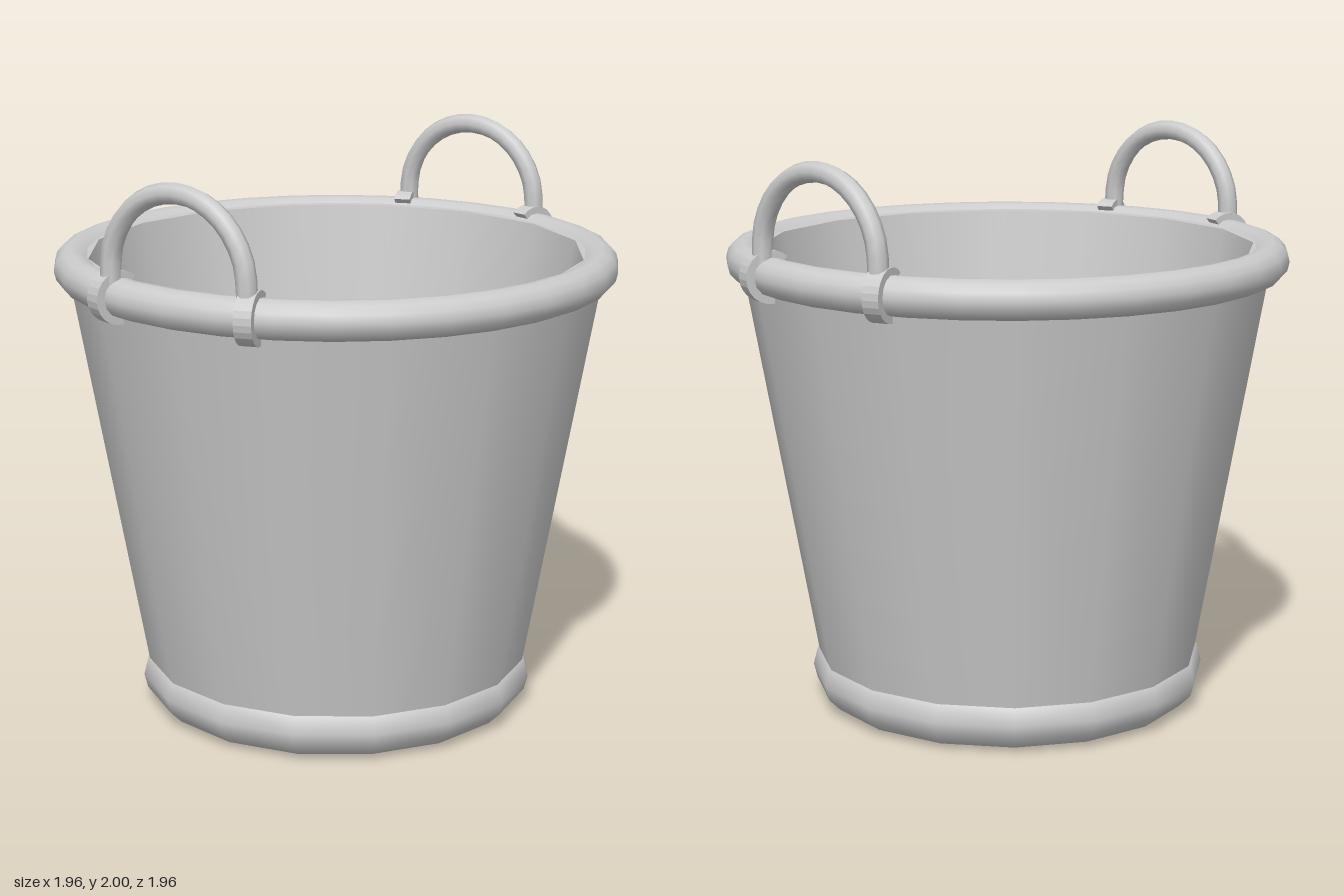
import * as THREE from 'three';

const material = new THREE.MeshStandardMaterial({ color: 0xcccccc });
const RIM_R = 0.915, RIM_Y = 1.595, RIM_TUBE = 0.066;
const HANDLE_X = 0.275, HANDLE_Z = 0.893;

function add(parent, name, geometry) {
  const mesh = new THREE.Mesh(geometry, material);
  mesh.name = name;
  parent.add(mesh);
  return mesh;
}

// Surface of revolution; profile points are [radius, height]
function turned(profile, sides = 16) {
  return new THREE.LatheGeometry(profile.map(([r, y]) => new THREE.Vector2(r, y)), sides);
}

// Half-hoop with short straight legs that sink into the rim
function handleGeometry() {
  const path = new THREE.CurvePath();
  const foot = 1.62, spring = 1.69;
  const v = (x, y) => new THREE.Vector3(x, y, HANDLE_Z);
  const arc = [];
  for (let i = 0; i <= 12; i++) {
    const a = Math.PI * (1 - i / 12);
    arc.push(v(HANDLE_X * Math.cos(a), spring + HANDLE_X * Math.sin(a)));
  }
  path.add(new THREE.LineCurve3(v(-HANDLE_X, foot), arc[0]));
  path.add(new THREE.CatmullRomCurve3(arc));
  path.add(new THREE.LineCurve3(arc[12], v(HANDLE_X, foot)));
  return new THREE.TubeGeometry(path, 20, 0.035, 8, false);
}

// C-shaped strap hooked over the rim, open towards the inside of the bucket
function strapGeometry() {
  const inner = 0.058, outer = 0.09, width = 0.06;
  const from = -1.9, to = 2.3;
  const shape = new THREE.Shape();
  shape.absarc(0, 0, outer, from, to, false);
  shape.absarc(0, 0, inner, to, from, true);
  shape.closePath();
  const geometry = new THREE.ExtrudeGeometry(shape, { depth: width, bevelEnabled: false, curveSegments: 8 });
  geometry.translate(RIM_R, RIM_Y, -width / 2);
  return geometry;
}

export function createModel() {
  const model = new THREE.Group();
  model.name = 'bucket';

  // Tapered wall and floor
  add(model, 'outerWall', turned([[0.67, 0.1], [0.925, 1.55]]));
  add(model, 'innerWall', turned([[0.862, 1.635], [0.597, 0.12]]));
  add(model, 'wallTop', turned([[0.93, 1.635], [0.862, 1.635]]));
  add(model, 'floor', turned([[0.597, 0.12], [0, 0.12]]));
  add(model, 'underside', turned([[0, 0.025], [0.56, 0.025]]));

  // Rounded band around the foot
  add(model, 'footBand', turned([
    [0.55, 0.03], [0.6, 0], [0.65, 0.015], [0.69, 0.055], [0.703, 0.105], [0.688, 0.165], [0.66, 0.17],
  ]));

  // Rolled rim, cut off where it meets the inner wall
  const rim = [];
  for (let i = 0; i <= 10; i++) {
    const a = -2.4 + 4.8 * i / 10;
    rim.push([RIM_R + RIM_TUBE * Math.cos(a), RIM_Y + RIM_TUBE * Math.sin(a)]);
  }
  add(model, 'rim', turned(rim, 32));

  // A handle with two straps at the front and at the back
  const hoop = handleGeometry();
  const strap = strapGeometry();
  for (const [side, turn] of [['front', 0], ['back', Math.PI]]) {
    const group = new THREE.Group();
    group.name = side + 'Handle';
    group.rotation.y = turn;
    add(group, 'hoop', hoop);
    for (const s of [-1, 1]) {
      const angle = Math.asin(HANDLE_X / RIM_R) * s;
      add(group, s > 0 ? 'leftStrap' : 'rightStrap', strap).rotation.y = angle - Math.PI / 2;
    }
    model.add(group);
  }
  return model;
}
